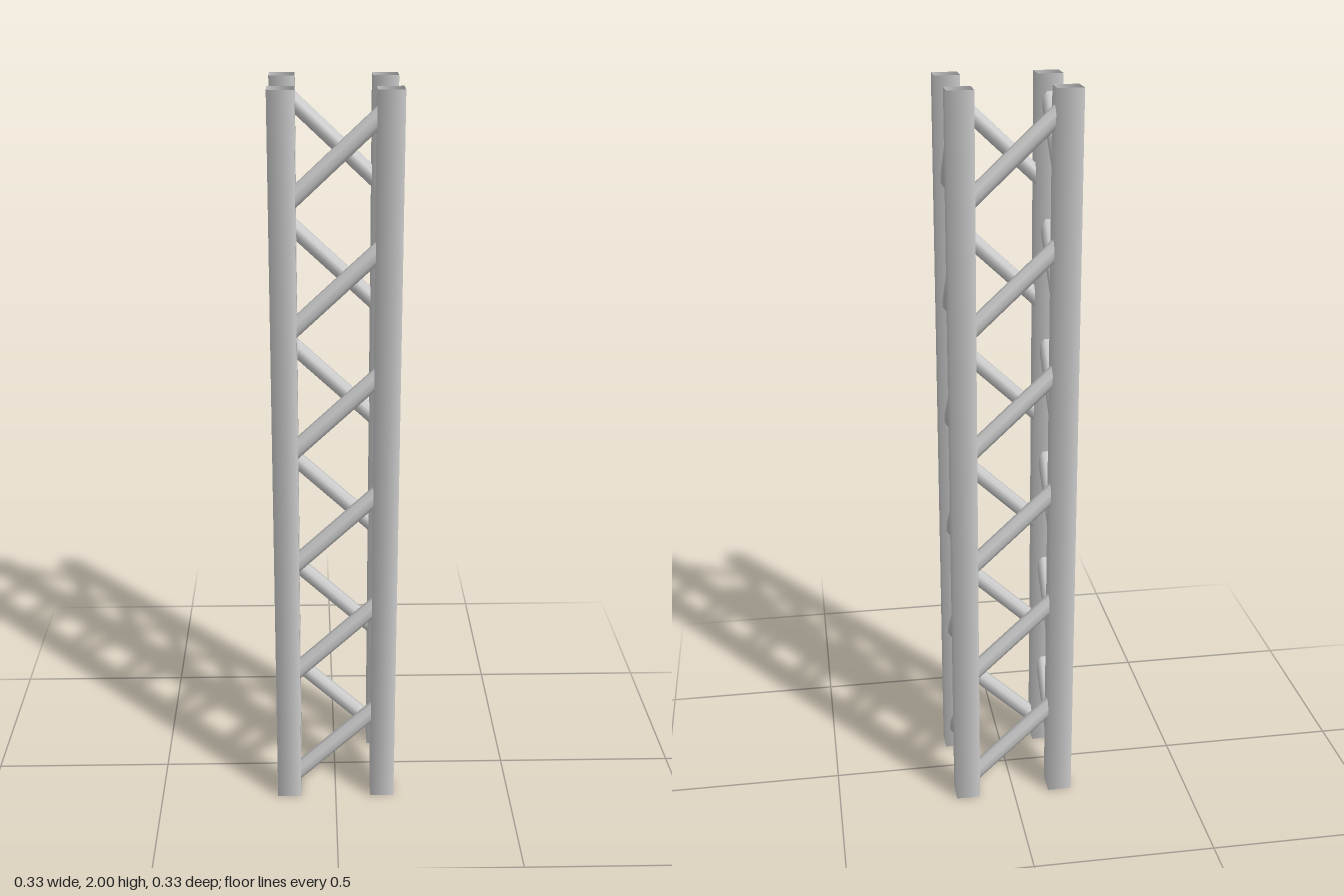
import * as THREE from 'three';

const HEIGHT = 2;
const POST = 0.1335;       // post centre distance from the axis
const POST_HALF = 0.0335;  // half width of a square post
const BRACE_R = 0.0228;    // corner radius of an octagonal brace
const LEVELS = 6;
const RISE = 0.25;         // height gained by each brace

export function createModel() {
  const model = new THREE.Group();
  model.name = 'latticeTower';
  const material = new THREE.MeshStandardMaterial({ color: 0xcccccc, side: THREE.DoubleSide });

  // Open square tube, softly shaded across its corners
  const postGeometry = new THREE.CylinderGeometry(
    POST_HALF * Math.SQRT2, POST_HALF * Math.SQRT2, HEIGHT, 4, 1, true);
  postGeometry.rotateY(Math.PI / 4);

  // Open octagonal tube with flats facing outward, leaning from one post to the next
  const run = 2 * POST;
  const braceGeometry = new THREE.CylinderGeometry(
    BRACE_R, BRACE_R, Math.hypot(run, RISE), 8, 1, true);
  braceGeometry.rotateY(Math.PI / 8);
  braceGeometry.rotateZ(-Math.atan2(run, RISE));

  // Each side carries one post and a ladder of braces; four turns close the tower
  for (let i = 0; i < 4; i++) {
    const side = new THREE.Group();
    side.name = `side${i + 1}`;
    side.rotation.y = i * Math.PI / 2;

    const post = new THREE.Mesh(postGeometry, material);
    post.name = 'cornerPost';
    post.position.set(POST, HEIGHT / 2, POST);
    side.add(post);

    for (let level = 0; level < LEVELS; level++) {
      const brace = new THREE.Mesh(braceGeometry, material);
      brace.name = 'diagonalBrace';
      brace.position.set(0, (level + 0.5) * HEIGHT / LEVELS, POST);
      side.add(brace);
    }
    model.add(side);
  }
  return model;
}
